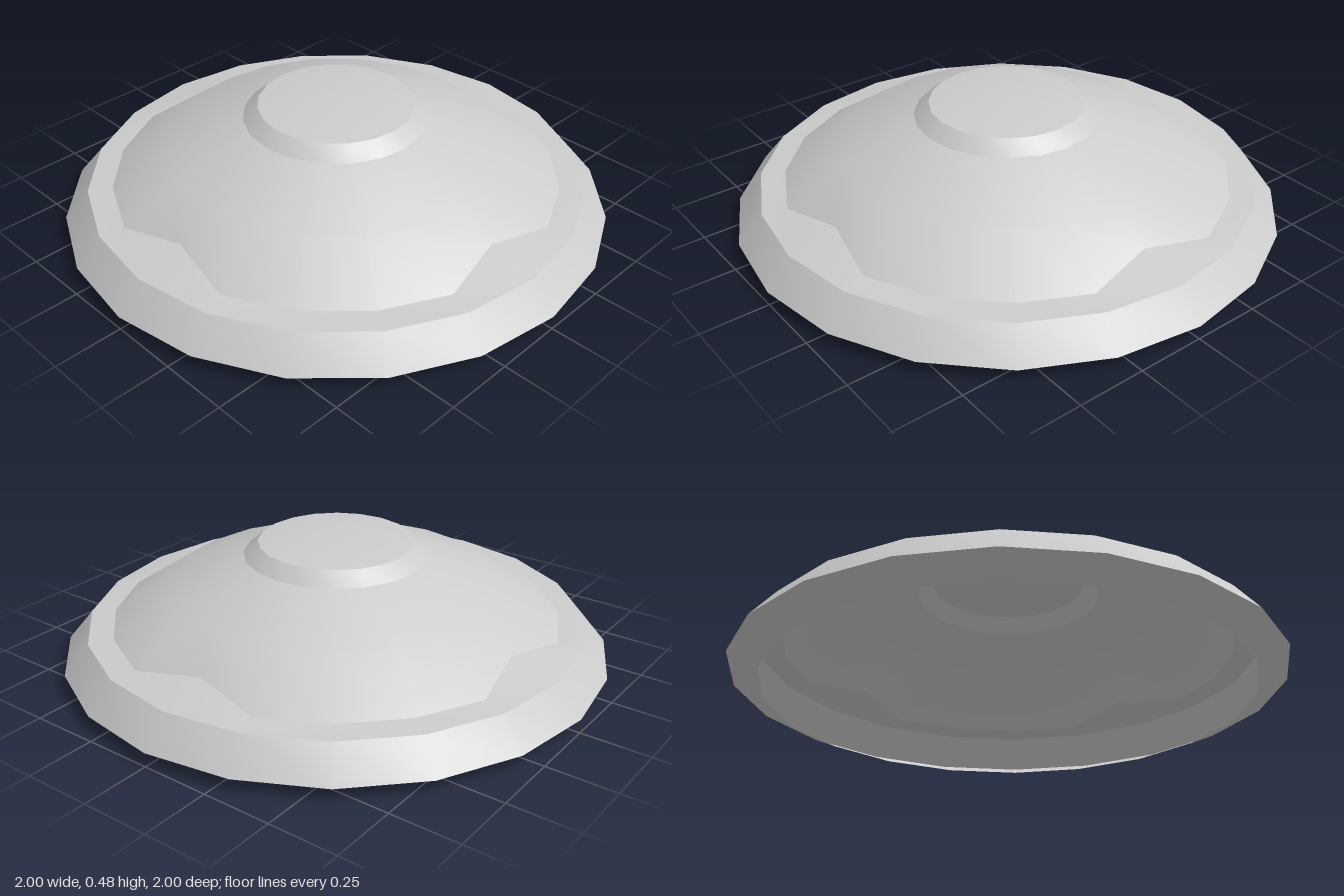
import * as THREE from 'three';
import { mergeVertices } from 'three/addons/utils/BufferGeometryUtils.js';

const SIDES = 20;
const material = new THREE.MeshStandardMaterial({ color: 0xcccccc, side: THREE.DoubleSide });

// Seam ring between brim and dome: [radius, height], dips inward at the four quarter points
const SEAM = [0.82, 0.165];
const NOTCH = [0.73, 0.2];

// Revolved band, given as [radius, height] from bottom to top
function band(name, profile) {
  const geo = new THREE.LatheGeometry(profile.map(([r, y]) => new THREE.Vector2(r, y)), SIDES);
  const pos = geo.attributes.position;
  // pull the seam ring in at every fifth corner to form the notches
  for (let i = 0; i < pos.count; i++) {
    const ring = i % profile.length;
    const corner = Math.floor(i / profile.length);
    if (profile[ring] === SEAM && corner % 5 === 0) {
      const a = (corner / SIDES) * Math.PI * 2;
      pos.setXYZ(i, NOTCH[0] * Math.sin(a), NOTCH[1], NOTCH[0] * Math.cos(a));
    }
  }
  // weld the seam so that shading is smooth all the way round
  geo.deleteAttribute('uv');
  geo.deleteAttribute('normal');
  const welded = mergeVertices(geo, 1e-4);
  welded.computeVertexNormals();
  const mesh = new THREE.Mesh(welded, material);
  mesh.name = name;
  return mesh;
}

export function createModel() {
  const group = new THREE.Group();
  group.name = 'domedShell';
  group.add(
    band('undersideLip', [[0.89, 0], [1, 0.05]]),
    band('outerRim', [[1, 0.05], [0.91, 0.158]]),
    band('brim', [[0.91, 0.158], SEAM]),
    band('dome', [SEAM, [0.61, 0.3], [0.337, 0.402]]),
    band('collar', [[0.337, 0.402], [0.283, 0.448]]),
    band('cap', [[0.283, 0.448], [0, 0.482]]),
  );
  return group;
}
